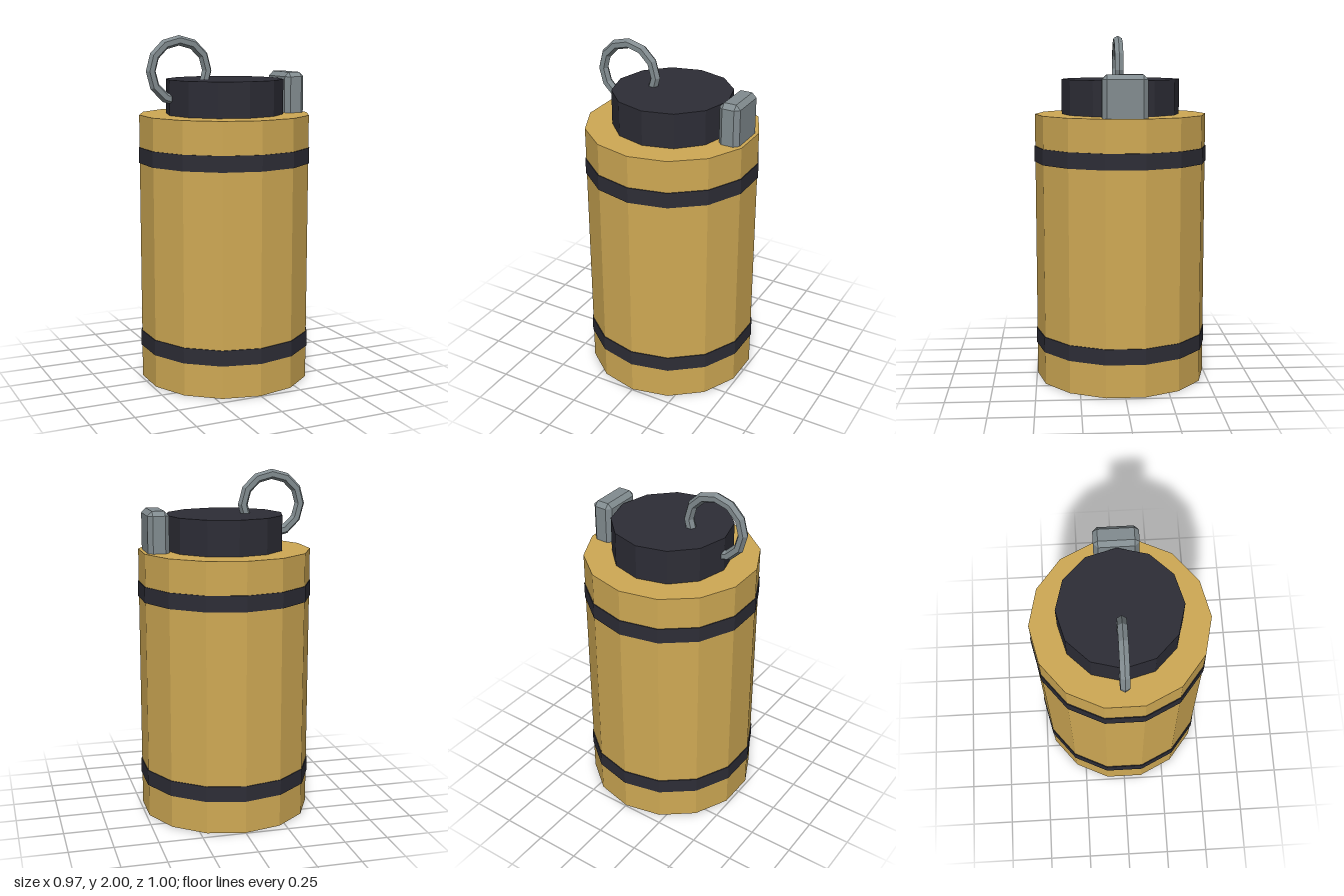
import * as THREE from 'three';
import { ConvexGeometry } from 'three/addons/geometries/ConvexGeometry.js';

function material(name, color) {
  const m = new THREE.MeshStandardMaterial({ color, flatShading: true });
  m.name = name;
  return m;
}

// Box with every edge and corner cut by one flat chamfer
function chamferedBox(w, h, d, c) {
  const points = [];
  for (const sx of [-1, 1]) for (const sy of [-1, 1]) for (const sz of [-1, 1]) {
    for (let axis = 0; axis < 3; axis++) {
      const inset = [c, c, c];
      inset[axis] = 0;
      points.push(new THREE.Vector3(
        sx * (w / 2 - inset[0]), sy * (h / 2 - inset[1]), sz * (d / 2 - inset[2])));
    }
  }
  return new ConvexGeometry(points);
}

export function createModel() {
  const model = new THREE.Group();
  model.name = 'canister';
  const gold = material('gold paint', 0xcfa954);
  const dark = material('dark rubber', 0x2d2d36);
  const steel = material('grey steel', 0x828c90);

  function add(name, geometry, mat, x, y, z) {
    const mesh = new THREE.Mesh(geometry, mat);
    mesh.name = name;
    mesh.position.set(x, y, z);
    model.add(mesh);
  }
  const drum = (r, h, sides) => new THREE.CylinderGeometry(r, r, h, sides);

  // Fourteen-sided body with two bands
  add('body', drum(0.495, 1.55, 14), gold, 0, 0.775, 0);
  add('lowerBand', drum(0.5, 0.09, 14), dark, 0, 0.235, 0);
  add('upperBand', drum(0.5, 0.09, 14), dark, 0, 1.32, 0);

  // Twelve-sided cap
  add('cap', drum(0.34, 0.2, 12), dark, 0, 1.65, 0);

  // Pull ring sunk into the cap, and the block beside it
  add('pullRing', new THREE.TorusGeometry(0.17, 0.029, 6, 12), steel, -0.28, 1.8, 0);
  add('lever', chamferedBox(0.122, 0.3, 0.25, 0.026), steel, 0.402, 1.635, 0);

  return model;
}
